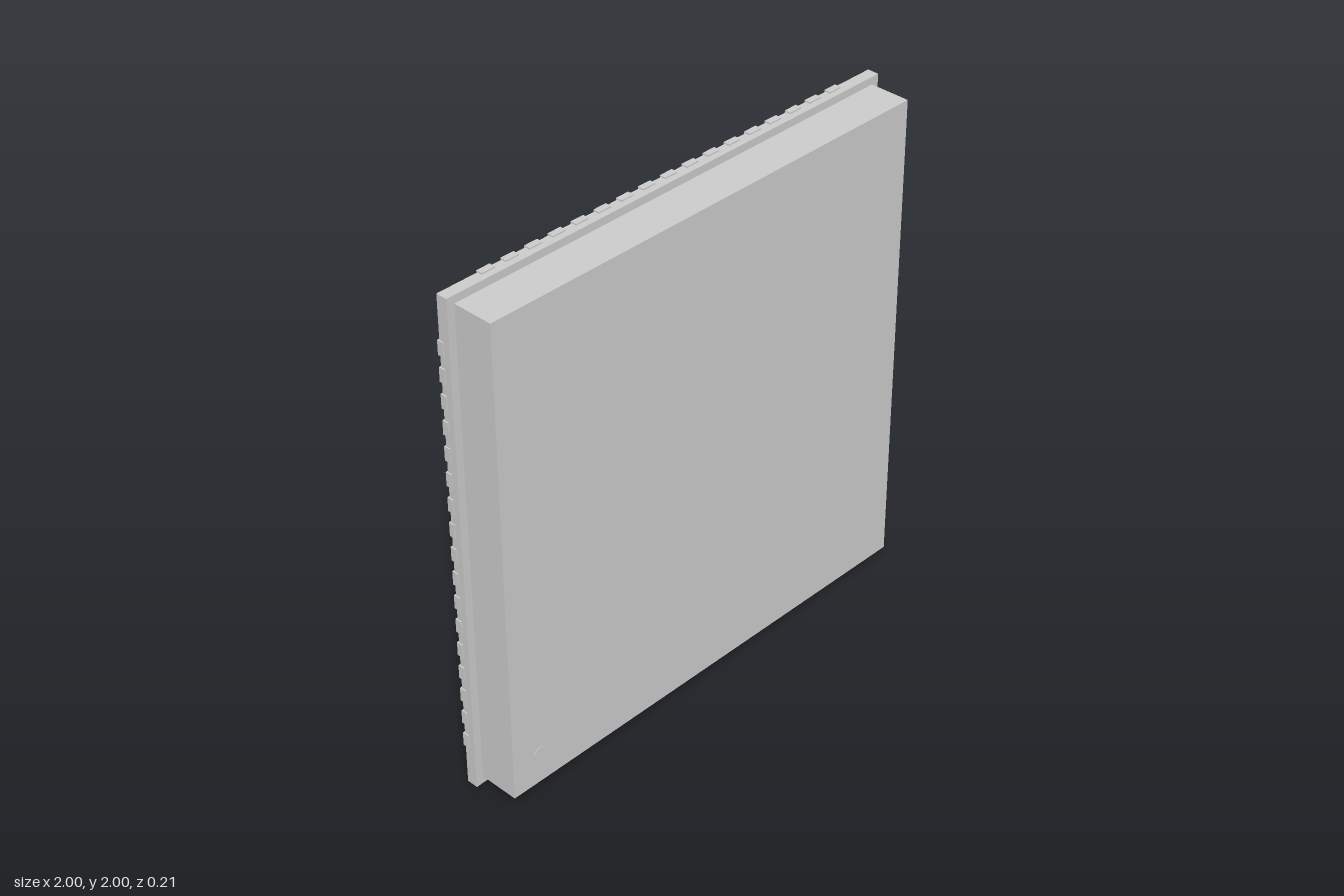
import * as THREE from 'three';

const material = new THREE.MeshStandardMaterial({ color: 0xcccccc, flatShading: true });

function box(name, w, h, z0, z1) {
  const mesh = new THREE.Mesh(new THREE.BoxGeometry(w, h, z1 - z0), material);
  mesh.name = name;
  mesh.position.set(0, 1, (z0 + z1) / 2);
  return mesh;
}

// Contact outline: straight at the outer edge, rounded at the inner end
function contactGeometry(width, inner, outer, depth) {
  const r = width / 2;
  const shape = new THREE.Shape();
  shape.moveTo(r, inner + r);
  shape.lineTo(r, outer);
  shape.lineTo(-r, outer);
  shape.lineTo(-r, inner + r);
  shape.absarc(0, inner + r, r, Math.PI, Math.PI * 2, false);
  return new THREE.ExtrudeGeometry(shape, { depth, bevelEnabled: false, curveSegments: 8 });
}

export function createModel() {
  const group = new THREE.Group();
  group.name = 'chipPackage';

  // Moulded cover, carrier plate and central thermal pad
  group.add(box('cover', 1.93, 1.93, -0.055, 0.105));
  group.add(box('carrierPlate', 1.99, 1.99, -0.1, -0.055));
  group.add(box('thermalPad', 1.35, 1.35, -0.105, -0.09));

  // Seventeen edge contacts on each of the four sides
  const count = 17, pitch = 0.1;
  const geometry = contactGeometry(0.055, 0.89, 1, 0.025);
  for (let side = 0; side < 4; side++) {
    const row = new THREE.Group();
    row.name = 'contactRow' + (side + 1);
    row.position.set(0, 1, -0.105);
    row.rotation.z = side * Math.PI / 2;
    for (let i = 0; i < count; i++) {
      const contact = new THREE.Mesh(geometry, material);
      contact.name = 'contact';
      contact.position.x = (i - (count - 1) / 2) * pitch;
      row.add(contact);
    }
    group.add(row);
  }

  // Small orientation dot on the front face
  const dot = new THREE.Mesh(new THREE.CylinderGeometry(0.03, 0.03, 0.004, 24), material);
  dot.name = 'orientationDot';
  dot.rotation.x = Math.PI / 2;
  dot.position.set(-0.84, 0.16, 0.105);
  group.add(dot);

  return group;
}
